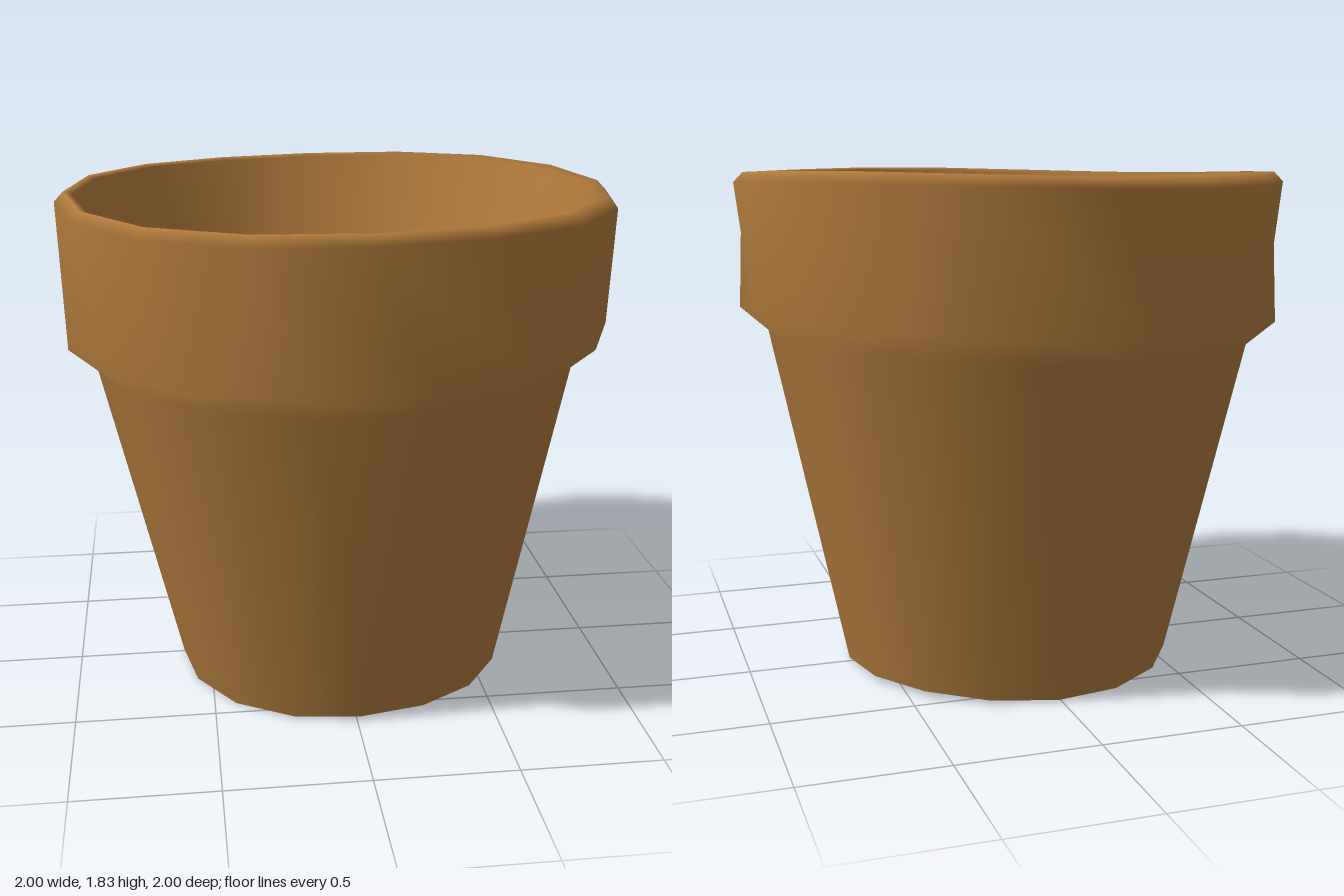
import * as THREE from 'three';
import { mergeVertices } from 'three/addons/utils/BufferGeometryUtils.js';

const SIDES = 16;
const HALF = 180 / SIDES;

// Closed wall profile [radius, height, twist in degrees]:
// hole, underside, outside, rim, inside, hole
const PROFILE = [
  [0.18, 0.1, -9], [0.44, 0.085, 0], [0.53, 0.025, 0], [0.615, 0.02, 0],
  [0.885, 1.235, HALF], [0.985, 1.32, HALF], [0.998, 1.79, 0], [0.965, 1.825, 0],
  [0.935, 1.815, 0], [0.81, 1.25, HALF], [0.565, 0.2, 0], [0.51, 0.16, 0],
  [0.13, 0.15, -9], [0.18, 0.1, -9],
];

export function createModel() {
  const group = new THREE.Group();
  group.name = 'flowerPot';
  const terracotta = new THREE.MeshStandardMaterial({ color: 0xb17b3d });
  terracotta.name = 'terracotta';

  const lathe = new THREE.LatheGeometry(PROFILE.map(([r, y]) => new THREE.Vector2(r, y)), SIDES);
  const pos = lathe.attributes.position;
  for (let i = 0; i < pos.count; i++) {
    const [r, y, twist] = PROFILE[i % PROFILE.length];
    const step = Math.floor(i / PROFILE.length) % SIDES;
    const angle = step * Math.PI * 2 / SIDES;
    const phi = angle + THREE.MathUtils.degToRad(twist);
    if (r < 0.2) {
      // Drainage hole: pull the innermost rings into a slightly turned square
      const k = r * Math.SQRT1_2 / Math.max(Math.abs(Math.cos(angle)), Math.abs(Math.sin(angle)));
      pos.setXYZ(i, k * Math.sin(phi) + 0.01, y, k * Math.cos(phi) - 0.02);
    } else {
      // Hand-made look: twisted facets, a wavy foot and rim, a foot a little off centre
      const ledge = y > 1 && y < 1.5;
      const wave = ledge ? 0.02 * Math.sin(phi)
        : 0.006 * Math.sin(phi) + 0.007 * Math.sin(3 * phi + 1);
      const shift = 0.012 * Math.max(0, 1 - y / 1.3);
      pos.setXYZ(i, r * Math.sin(phi) + shift, y + wave, r * Math.cos(phi));
    }
  }

  // Weld the seam so the shading stays smooth all around
  lathe.deleteAttribute('normal');
  lathe.deleteAttribute('uv');
  const geometry = mergeVertices(lathe, 1e-4);
  geometry.computeVertexNormals();

  const pot = new THREE.Mesh(geometry, terracotta);
  pot.name = 'potBody';
  group.add(pot);
  return group;
}
